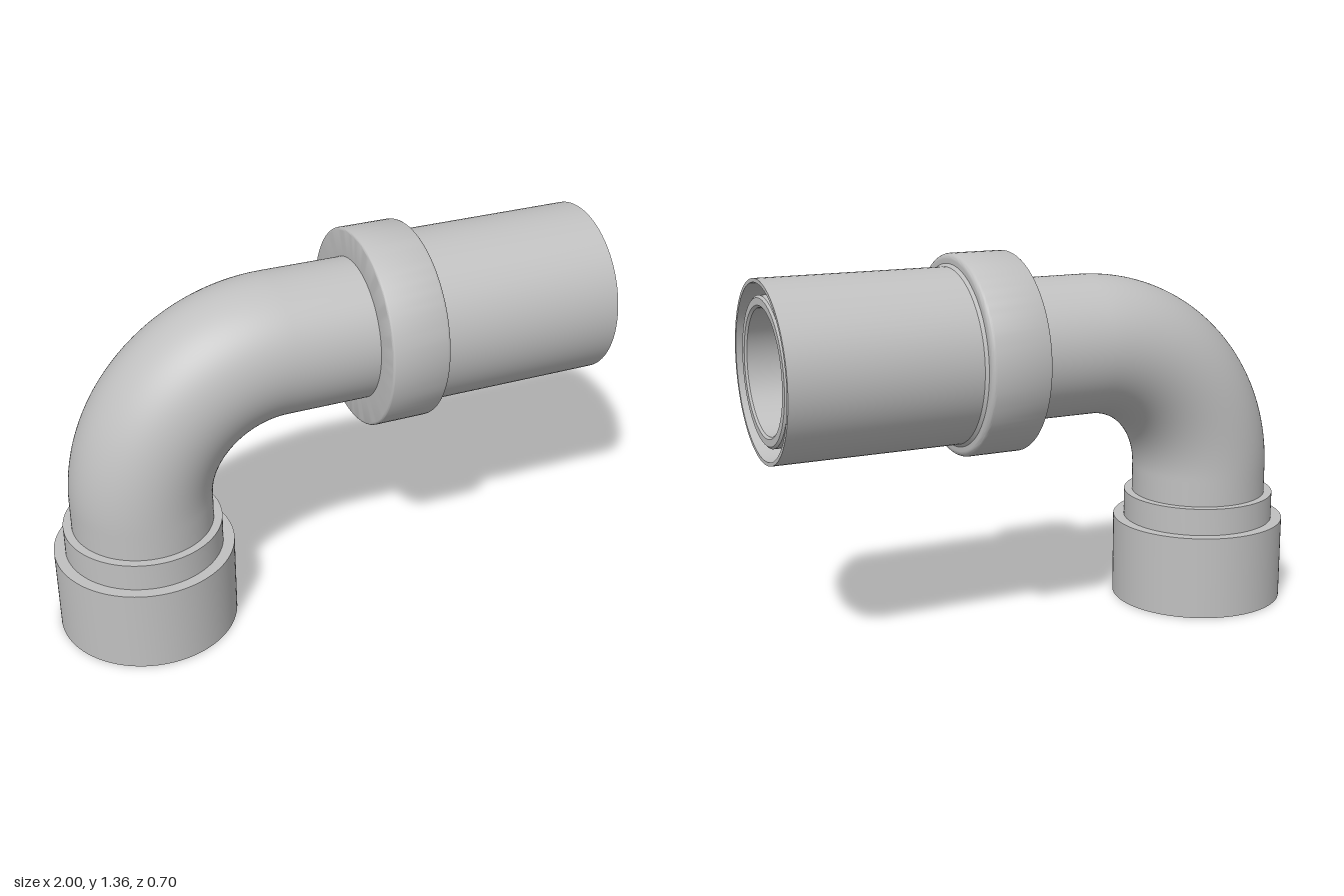
import * as THREE from 'three';
import { toCreasedNormals } from 'three/addons/utils/BufferGeometryUtils.js';

const SEGMENTS = 96;
const AXIS_X = -0.68;   // axis of the vertical leg
const AXIS_Y = 1.005;   // axis of the horizontal leg
const BEND = 0.5;       // centreline radius of the elbow
const BORE = 0.21;
const PIPE = 0.25;

// Revolve a [radius, height] profile, keeping its corners crisp
function revolve(profile) {
  const points = profile.map(([r, h]) => new THREE.Vector2(r, h));
  return toCreasedNormals(new THREE.LatheGeometry(points, SEGMENTS), 0.5);
}

// Quarter-round profile points about (r, h), from angle a to a + 90 degrees
function fillet(r, h, radius, a) {
  return Array.from({ length: 7 }, (_, i) => {
    const t = a + (i / 6) * Math.PI / 2;
    return [r + radius * Math.cos(t), h + radius * Math.sin(t)];
  });
}

// Centreline: up, round the quarter bend, then out to the right
function centreline(startY, endX) {
  const path = new THREE.CurvePath();
  const bendY = AXIS_Y - BEND, bendX = AXIS_X + BEND;
  const k = BEND * 0.5523;
  const v = (x, y) => new THREE.Vector3(x, y, 0);
  path.add(new THREE.LineCurve3(v(AXIS_X, startY), v(AXIS_X, bendY)));
  path.add(new THREE.CubicBezierCurve3(
    v(AXIS_X, bendY), v(AXIS_X, bendY + k), v(bendX - k, AXIS_Y), v(bendX, AXIS_Y)));
  path.add(new THREE.LineCurve3(v(bendX, AXIS_Y), v(endX, AXIS_Y)));
  return path;
}

export function createModel() {
  const model = new THREE.Group();
  model.name = 'pipeElbow';
  const grey = new THREE.MeshStandardMaterial({ color: 0xc0c0c0, side: THREE.DoubleSide });
  grey.name = 'lightGrey';

  const add = (name, geometry, parent = model) => {
    const mesh = new THREE.Mesh(geometry, grey);
    mesh.name = name;
    parent.add(mesh);
    return mesh;
  };

  // Bent pipe: outer skin and bore
  const path = centreline(0.155, 0.985);
  add('pipeOuterWall', new THREE.TubeGeometry(path, 128, PIPE, SEGMENTS));
  add('pipeBore', new THREE.TubeGeometry(path, 128, BORE, SEGMENTS));

  // Stepped socket at the foot, open below
  const socket = add('footSocket', revolve([
    [BORE, 0.155], [0.31, 0.155], [0.31, 0], [0.32, 0], [0.32, 0.305],
    [0.28, 0.305], [0.28, 0.405], [PIPE - 0.005, 0.405],
  ]));
  socket.position.x = AXIS_X;

  // Fittings on the horizontal leg; their height runs along +x
  const outlet = new THREE.Group();
  outlet.name = 'outlet';
  outlet.position.y = AXIS_Y;
  outlet.rotation.z = -Math.PI / 2;
  model.add(outlet);

  add('collar', revolve([
    [PIPE - 0.005, 0.115],
    ...fillet(0.34, 0.125, 0.01, -Math.PI / 2),
    ...fillet(0.33, 0.31, 0.02, 0),
    [0.315, 0.33], [0.305, 0.34],
  ]), outlet);

  // Thin sleeve with a deep ring-shaped gap around the pipe
  add('sleeve', revolve([
    [0.305, 0.33], [0.305, 1], [0.292, 1], [0.278, 0.53], [PIPE - 0.005, 0.53],
  ]), outlet);

  // Lip closing the pipe wall
  add('pipeLip', revolve([
    [PIPE, 0.985], [0.242, 0.992], [0.218, 0.992], [BORE, 0.985],
  ]), outlet);

  return model;
}
